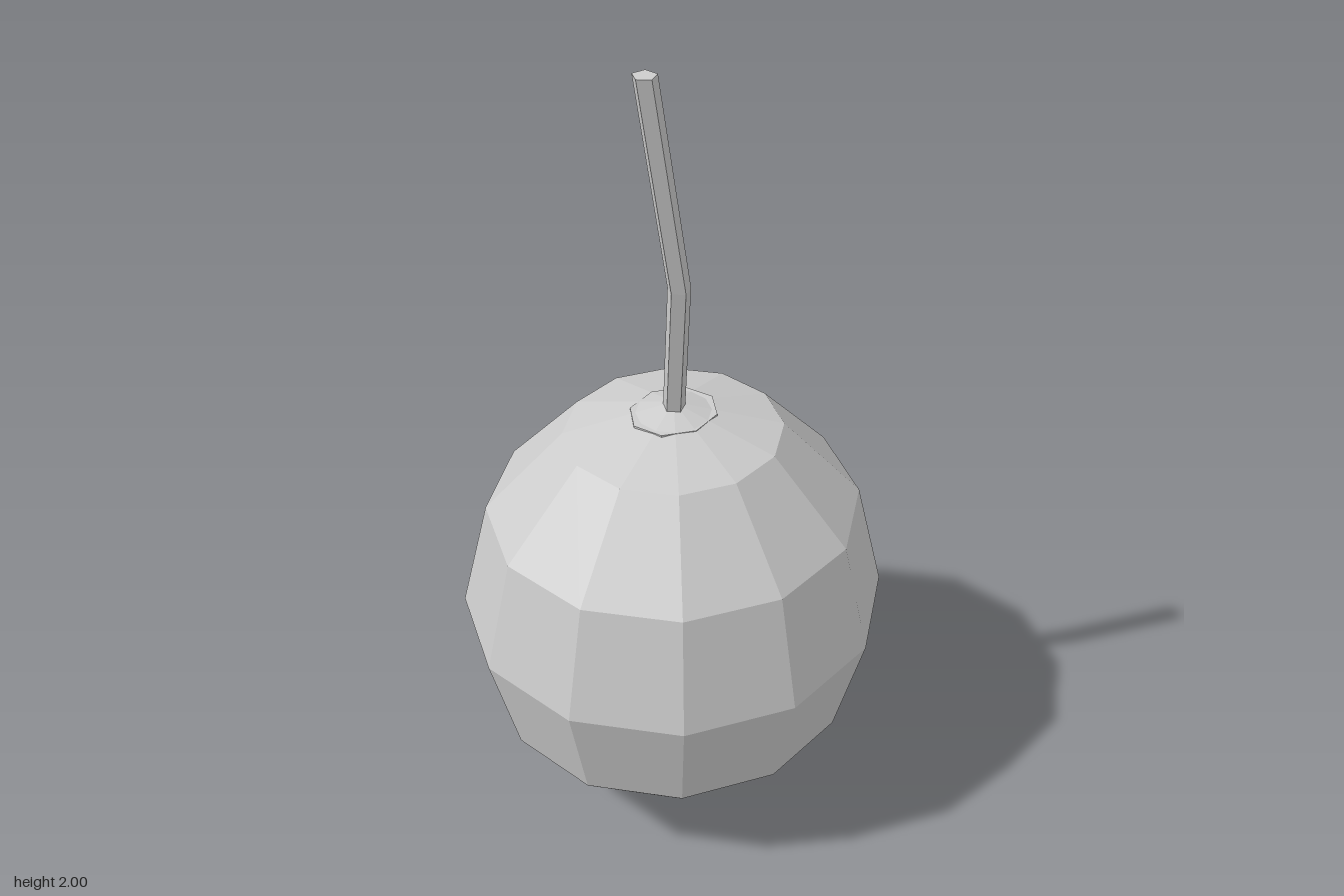
import * as THREE from 'three';

export function createModel() {
  const group = new THREE.Group();
  const grey = new THREE.MeshStandardMaterial({ color: 0xcccccc });
  grey.name = 'light grey';

  const add = (name, geometry) => {
    const flat = geometry.index ? geometry.toNonIndexed() : geometry;
    flat.computeVertexNormals();
    const mesh = new THREE.Mesh(flat, grey);
    mesh.name = name;
    group.add(mesh);
  };

  // Faceted round body, slightly narrower front to back
  const body = new THREE.SphereGeometry(1, 12, 6);
  body.scale(0.525, 0.566, 0.506);
  body.translate(0, 0.567, 0);
  add('body', body);

  // Thin octagonal cap around the stem
  const cap = new THREE.CylinderGeometry(1, 1, 0.014, 8);
  cap.scale(0.109, 1, 0.094);
  cap.translate(0, 1.1, 0);
  add('cap', cap);

  // Bent five-sided stem: each ring of a cylinder is moved to a path point
  const path = [[0, 1.09, 0], [-0.029, 1.475, 0.065], [-0.128, 2, 0.091]];
  const stem = new THREE.CylinderGeometry(0.027, 0.027, 2, 5, 2);
  const p = stem.attributes.position;
  for (let i = 0; i < p.count; i++) {
    const [x, y, z] = path[Math.round(p.getY(i) + 1)];
    p.setXYZ(i, p.getX(i) + x, y, p.getZ(i) + z);
  }
  add('stem', stem);

  return group;
}
